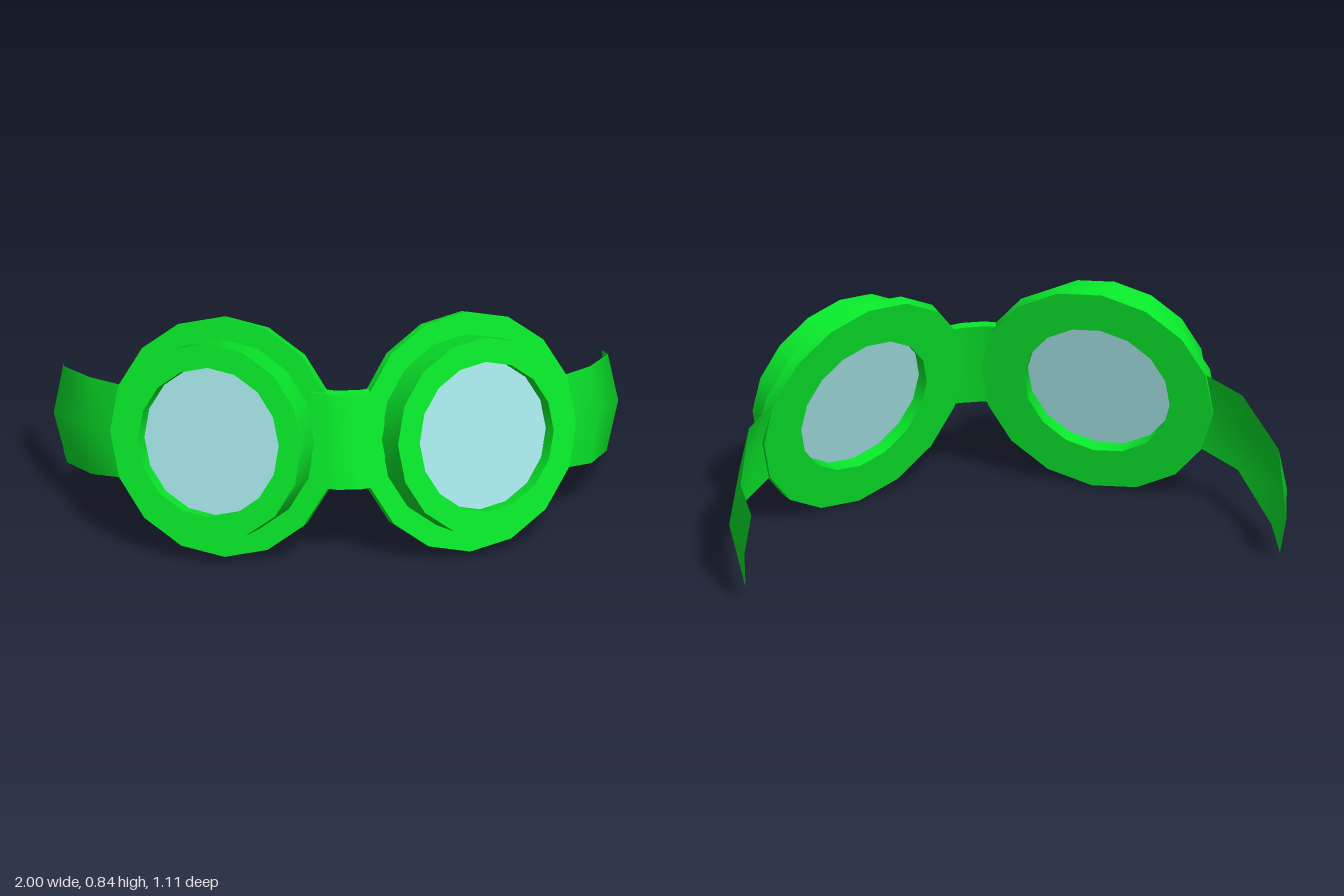
import * as THREE from 'three';
import { toCreasedNormals } from 'three/addons/utils/BufferGeometryUtils.js';

const SIDES = 16;
const PITCH = 0.256, YAW = 0.433;
const green = new THREE.MeshStandardMaterial({ color: 0x08e62a });
const strapGreen = new THREE.MeshStandardMaterial({ color: 0x08e62a, side: THREE.DoubleSide });
const glass = new THREE.MeshStandardMaterial({ color: 0xa4e4e6 });

function mesh(name, geometry, material) {
  const m = new THREE.Mesh(geometry, material);
  m.name = name;
  return m;
}

// Surface through a row of equal-length cross-sections, open or closed around
function loft(sections, closed) {
  const n = sections[0].length, index = [];
  for (let i = 0; i < sections.length - 1; i++) {
    for (let j = 0; j < (closed ? n : n - 1); j++) {
      const a = i * n + j, b = i * n + (j + 1) % n;
      index.push(a, a + n, b, b, a + n, b + n);
    }
  }
  const g = new THREE.BufferGeometry();
  g.setAttribute('position', new THREE.Float32BufferAttribute(sections.flat(2), 3));
  g.setIndex(index);
  return toCreasedNormals(g, 0.7);
}

// Eye cup: flanged ring with a recessed lens; local +z looks out of the cup
function eyeCup(s) {
  const cup = new THREE.Group();
  cup.name = s > 0 ? 'leftEyeCup' : 'rightEyeCup';

  const profile = [
    [0.268, -0.18], [0.426, -0.18], [0.43, -0.138],
    [0.35, -0.138], [0.355, 0], [0.268, 0], [0.268, -0.18],
  ].map(([r, h]) => new THREE.Vector2(r, h));
  const ring = new THREE.LatheGeometry(profile, SIDES).rotateX(Math.PI / 2);
  cup.add(mesh('cupRing', toCreasedNormals(ring, 0.47), green));

  const lens = new THREE.CylinderGeometry(0.268, 0.268, 0.07, SIDES).rotateX(Math.PI / 2);
  lens.translate(0, 0, -0.095);
  cup.add(mesh('lens', lens, glass));

  // Turned outward, then tipped back with the whole frame
  cup.position.set(0.493 * s, 0.452, 0.39);
  cup.rotation.set(-PITCH, YAW * s, 0);
  return cup;
}

// Strap stub: thin bowed band sweeping back from the rim of the cup
function strap(s) {
  // bottom, middle and top of each cross-section
  const sections = [
    [[0.765, 0.21, 0.135], [0.8, 0.368, 0.079], [0.765, 0.53, 0.055]],
    [[0.885, 0.17, 0], [0.91, 0.34, -0.06], [0.885, 0.5, -0.1]],
    [[0.955, 0.085, -0.3], [1, 0.25, -0.365], [0.965, 0.415, -0.4]],
    [[0.958, 0.048, -0.47], [0.972, 0.2, -0.525], [0.952, 0.362, -0.555]],
  ].map((row) => {
    const points = row.map(([x, y, z]) => [x * s, y, z]);
    return s > 0 ? points : points.reverse();
  });
  return mesh(s > 0 ? 'leftStrap' : 'rightStrap', loft(sections, false), strapGreen);
}

// Nose bridge: tilted plate whose ends bend back and lie flush on the flanges
function bridge() {
  const half = [[0.13, -0.024], [0.075, 0], [0.042, 0.012]];
  const stations = [
    ...half.map(([x, dz]) => [-x, dz]),
    ...half.toReversed(),
  ];
  const rings = stations.map(([x, dz]) => [
    [x, 0.63, 0.392 + dz], [x, 0.63, 0.348 + dz],
    [x, 0.303, 0.434 + dz], [x, 0.303, 0.478 + dz],
  ]);
  return mesh('noseBridge', loft(rings, true), green);
}

export function createModel() {
  const goggles = new THREE.Group();
  goggles.name = 'goggles';
  for (const s of [1, -1]) goggles.add(eyeCup(s), strap(s));
  goggles.add(bridge());
  return goggles;
}
